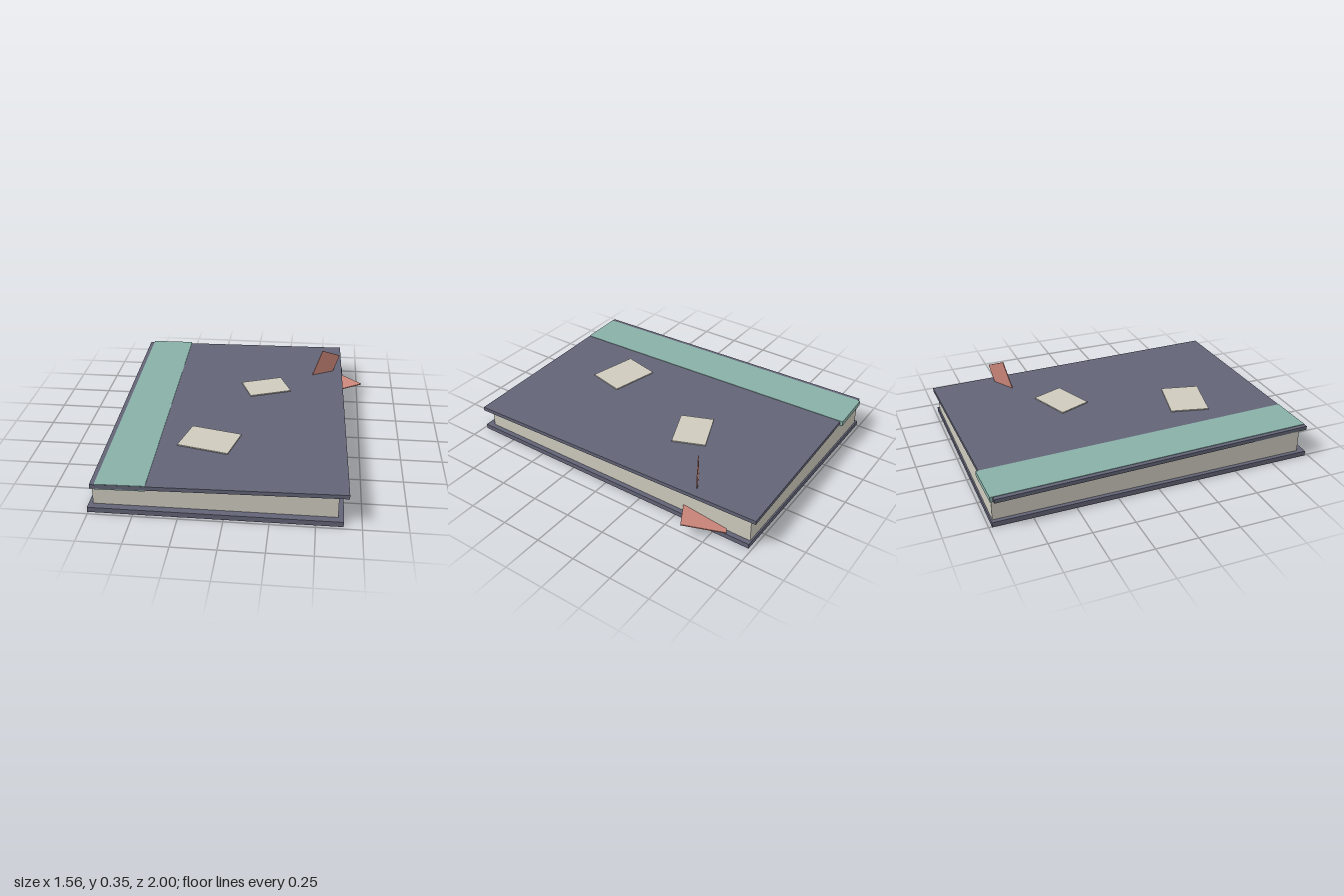
import * as THREE from 'three';

const mat = (name, color) => {
  const m = new THREE.MeshStandardMaterial({ color });
  m.name = name;
  return m;
};

export function createModel() {
  const book = new THREE.Group();
  book.name = 'book';
  const slate = mat('slate cover', 0x626477);
  const teal = mat('teal band', 0x88b0a7);
  const paper = mat('paper', 0xcecabe);
  const coral = mat('coral tab', 0xcd877b);

  // Box given by its lower and upper corners
  const block = (name, material, [x0, y0, z0], [x1, y1, z1], parent = book) => {
    const mesh = new THREE.Mesh(new THREE.BoxGeometry(x1 - x0, y1 - y0, z1 - z0), material);
    mesh.position.set((x0 + x1) / 2, (y0 + y1) / 2, (z0 + z1) / 2);
    mesh.name = name;
    parent.add(mesh);
    return mesh;
  };

  // Thin sheet spanned by two edges from one corner
  const sheet = (name, material, corner, edgeU, edgeV, thickness = 0.006) => {
    const o = new THREE.Vector3(...corner);
    const u = new THREE.Vector3(...edgeU);
    const v = new THREE.Vector3(...edgeV);
    const n = new THREE.Vector3().crossVectors(u, v).setLength(thickness);
    const geometry = new THREE.BoxGeometry(1, 1, 1).translate(0.5, 0.5, 0);
    geometry.applyMatrix4(new THREE.Matrix4().makeBasis(u, v, n).setPosition(o));
    const mesh = new THREE.Mesh(geometry, material);
    mesh.name = name;
    book.add(mesh);
  };

  // Back cover and page block
  block('backCover', slate, [-0.755, 0, -0.982], [0.65, 0.03, 0.982]);
  block('pages', paper, [-0.73, 0.03, -0.973], [0.62, 0.165, 0.938]);

  // Front cover sits slightly askew, with the band wrapping its spine side
  const lid = new THREE.Group();
  lid.name = 'frontCoverGroup';
  lid.position.set(-0.051, 0, -0.004);
  lid.rotation.y = 0.0255;
  book.add(lid);
  block('frontCover', slate, [-0.701, 0.163, -0.98], [0.701, 0.187, 0.98], lid);
  block('spineBand', teal, [-0.675, 0.157, -0.996], [-0.397, 0.19, 0.979], lid);

  // Loose paper notes on the cover: x, z, width, depth, turn
  [
    [0.135, -0.28, 0.273, 0.207, 0.378],
    [-0.142, 0.46, 0.313, 0.239, -0.24],
  ].forEach(([x, z, w, d, turn], i) => {
    const note = block(`note${i + 1}`, paper, [-w / 2, 0.192, -d / 2], [w / 2, 0.199, d / 2]);
    note.position.x = x;
    note.position.z = z;
    note.rotation.y = turn;
  });

  // Torn tabs: one standing out of the cover, one sticking out of the pages
  sheet('upperTab', coral, [0.498, 0.352, -0.552], [0.117, -0.058, -0.068], [-0.082, -0.217, 0.048]);
  sheet('sideTab', coral, [0.778, 0.081, -0.622], [-0.128, -0.043, -0.218], [-0.254, -0.016, 0.138]);

  return book;
}
